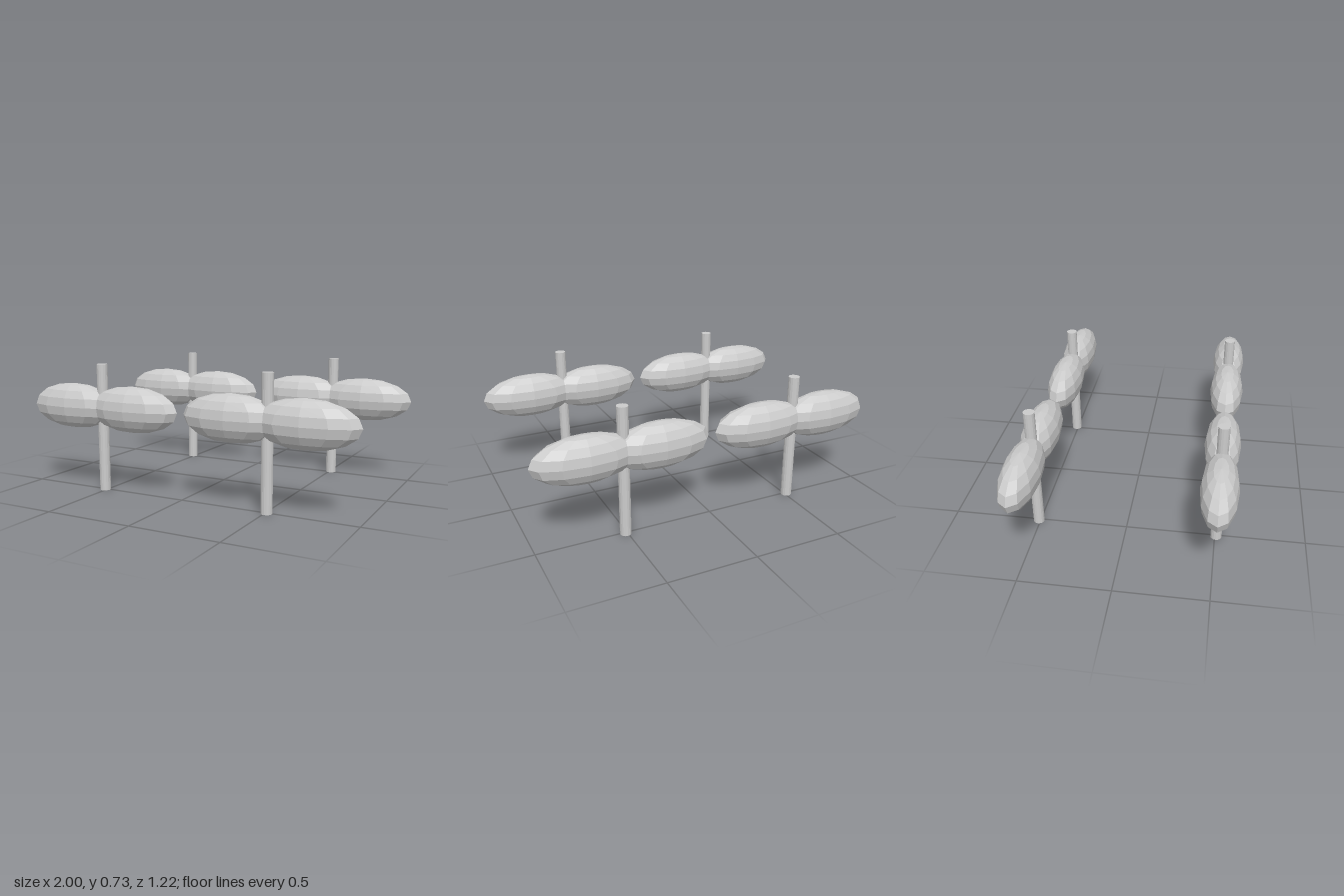
import * as THREE from 'three';

export function createModel() {
  const model = new THREE.Group();
  const material = new THREE.MeshStandardMaterial({ color: 0xcccccc, flatShading: true });

  // Shared low-poly shapes
  const rodGeometry = new THREE.CylinderGeometry(0.031, 0.031, 0.727, 16);
  const bladeGeometry = new THREE.SphereGeometry(1, 12, 8);
  bladeGeometry.scale(0.287, 0.13, 0.1);

  // One rotor: an upright rod with two overlapping ellipsoid blades
  function createRotor() {
    const rotor = new THREE.Group();
    const rod = new THREE.Mesh(rodGeometry, material);
    rod.name = 'rod';
    rod.position.y = 0.3635;
    rotor.add(rod);
    for (const side of [-1, 1]) {
      const blade = new THREE.Mesh(bladeGeometry, material);
      blade.name = side > 0 ? 'leftBlade' : 'rightBlade';
      blade.position.set(side * 0.203, 0.48, 0);
      rotor.add(blade);
    }
    return rotor;
  }

  // Four rotors at the corners of a square
  for (const x of [-1, 1]) {
    for (const z of [-1, 1]) {
      const rotor = createRotor();
      rotor.name = (z > 0 ? 'front' : 'back') + (x > 0 ? 'Left' : 'Right') + 'Rotor';
      rotor.position.set(x * 0.51, 0, z * 0.508);
      model.add(rotor);
    }
  }
  return model;
}
